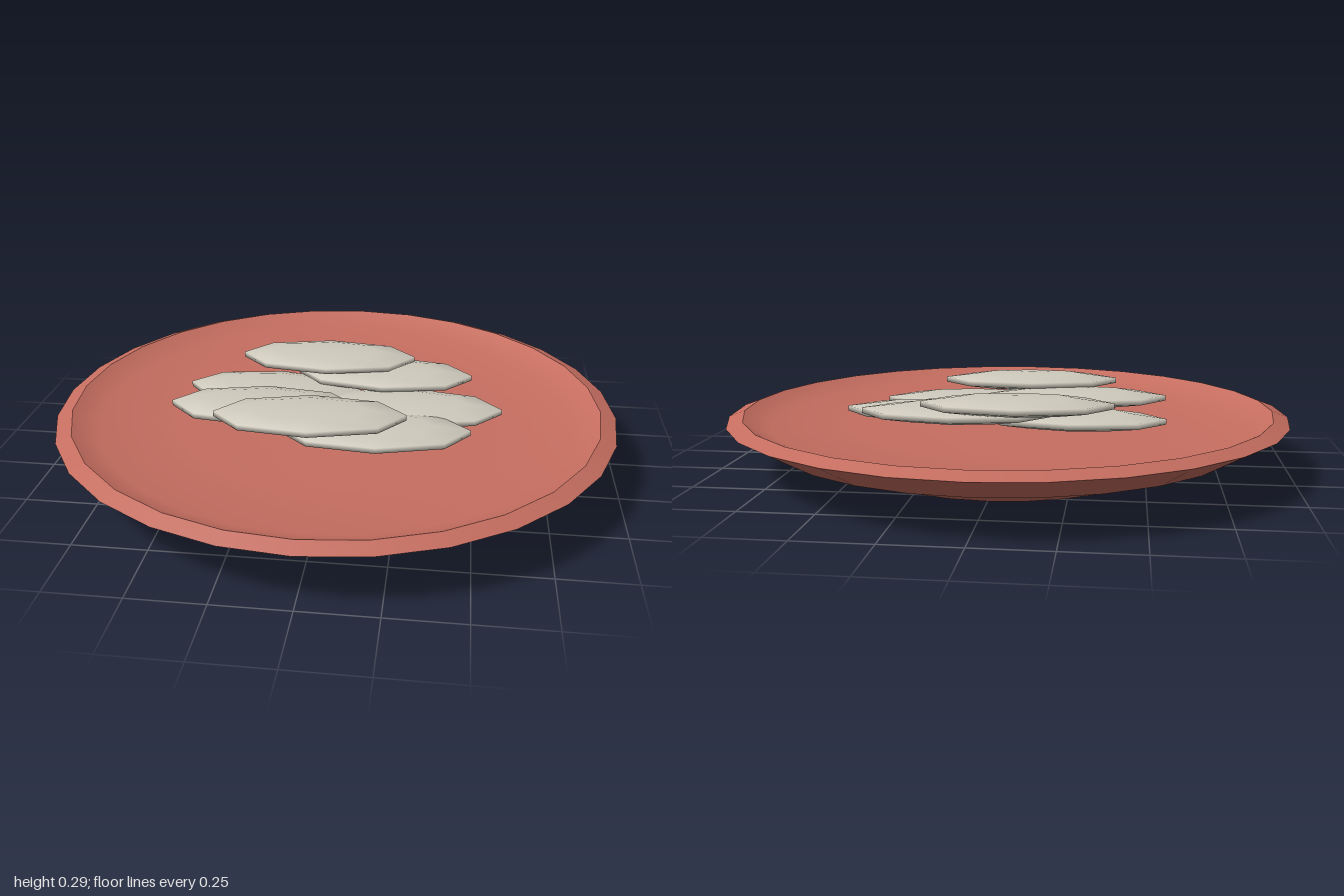
import * as THREE from 'three';

const SIDES = 28;

export function createModel() {
  const group = new THREE.Group();
  group.name = 'plateWithSlices';

  const clay = new THREE.MeshStandardMaterial({ color: 0xc66e60 });
  clay.name = 'terracotta';
  const pale = new THREE.MeshStandardMaterial({ color: 0xcfcabd });
  pale.name = 'pale cream';

  // Plate surfaces: each profile is smooth, with sharp creases where they meet
  const lathe = (name, profile) => {
    const points = profile.map(([r, y]) => new THREE.Vector2(r, y));
    const mesh = new THREE.Mesh(new THREE.LatheGeometry(points, SIDES), clay);
    mesh.name = name;
    group.add(mesh);
  };
  lathe('plateUnderside', [[0, 0], [0.55, 0], [0.6, 0.06], [0.85, 0.098], [1, 0.185]]);
  lathe('plateRim', [[1, 0.185], [0.945, 0.205]]);
  lathe('plateInside', [[0.945, 0.205], [0.85, 0.162], [0.55, 0.146], [0, 0.144]]);

  // Flat oval slices, stacked in three layers: x, y, z, turn
  const slices = [
    [-0.24, 0.182, -0.11, -0.03],
    [0.27, 0.182, -0.005, 0],
    [0.16, 0.186, 0.21, 0.08],
    [-0.245, 0.22, 0.12, 0.05],
    [0.16, 0.218, -0.217, 0],
    [-0.06, 0.258, -0.266, 0.04],
    [-0.06, 0.258, 0.262, 0.07],
  ];
  const sliceGeometry = new THREE.SphereGeometry(1, 8, 5);
  sliceGeometry.scale(0.347, 0.032, 0.154);
  slices.forEach(([x, y, z, turn], i) => {
    const slice = new THREE.Mesh(sliceGeometry, pale);
    slice.name = `slice${i + 1}`;
    slice.position.set(x, y, z);
    slice.rotation.y = turn;
    group.add(slice);
  });

  return group;
}
